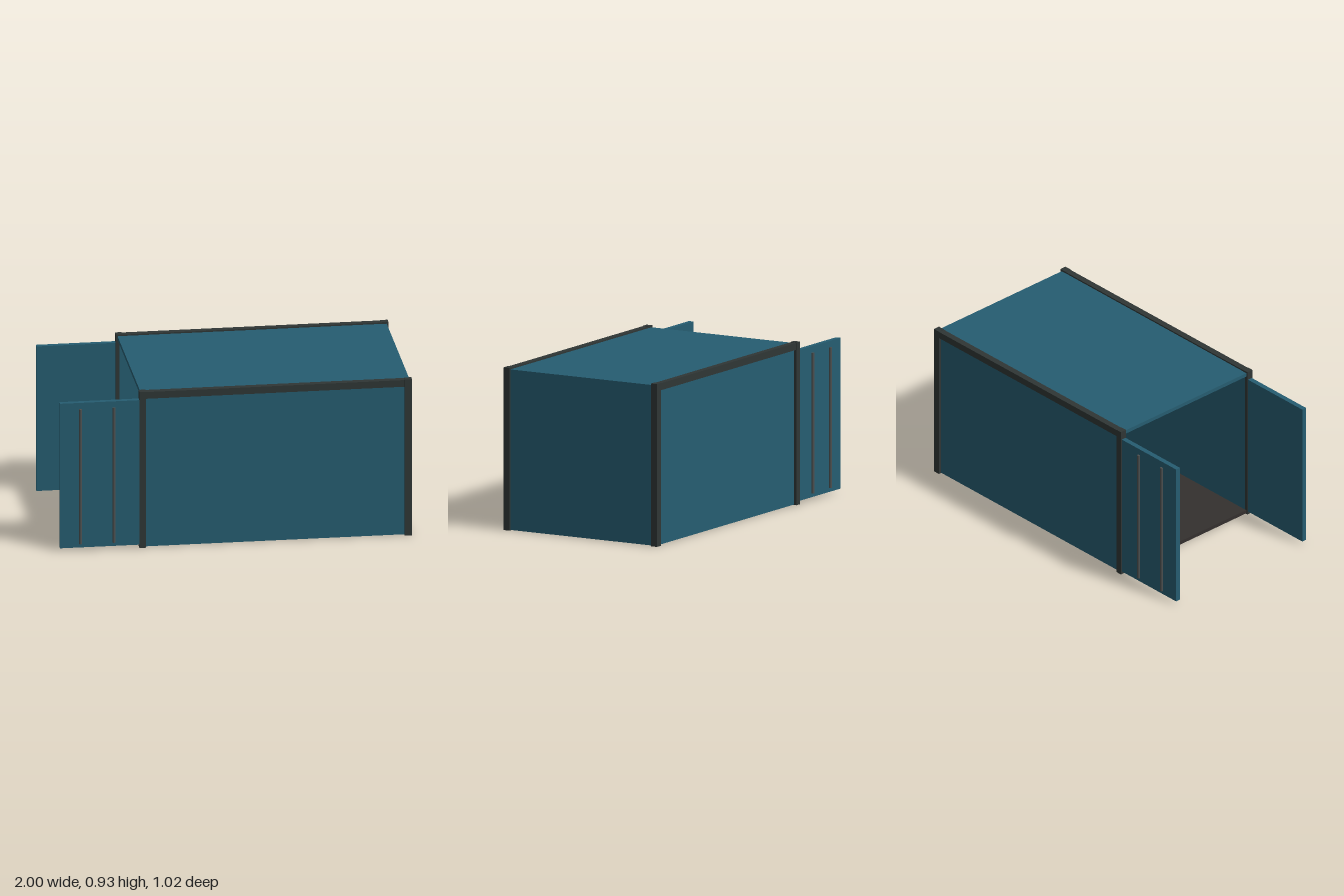
import * as THREE from 'three';

const mat = (name, color) => {
  const m = new THREE.MeshStandardMaterial({ color });
  m.name = name;
  return m;
};

export function createModel() {
  const group = new THREE.Group();
  const blue = mat('containerBlue', 0x265d71);
  const dark = mat('frameCharcoal', 0x2f3635);
  const steel = mat('rodSteel', 0x4c5050);
  const boards = mat('floorBoards', 0x34302e);

  // Box given by its minimum and maximum corners
  const box = (name, material, [x0, y0, z0], [x1, y1, z1]) => {
    const mesh = new THREE.Mesh(new THREE.BoxGeometry(x1 - x0, y1 - y0, z1 - z0), material);
    mesh.position.set((x0 + x1) / 2, (y0 + y1) / 2, (z0 + z1) / 2);
    mesh.name = name;
    group.add(mesh);
  };

  // Shell, open at the -x end
  box('floor', boards, [-0.54, 0.004, -0.47], [0.97, 0.025, 0.47]);
  box('roof', blue, [-0.54, 0.9, -0.47], [0.99, 0.922, 0.47]);
  box('endWall', blue, [0.97, 0.003, -0.47], [0.99, 0.9, 0.47]);

  for (const s of [-1, 1]) {
    const side = s > 0 ? 'front' : 'back';
    const span = (a, b) => (s > 0 ? [a, b] : [-b, -a]);
    const part = (name, m, x0, x1, y0, y1, a, b) => {
      const [z0, z1] = span(a, b);
      box(side + name, m, [x0, y0, z0], [x1, y1, z1]);
    };

    // Side wall, set back between corner posts and top rail
    part('Wall', blue, -0.53, 0.975, 0.003, 0.9, 0.465, 0.49);
    part('OpenEndPost', dark, -0.55, -0.512, 0, 0.932, 0.466, 0.505);
    part('ClosedEndPost', dark, 0.958, 1, 0, 0.932, 0.466, 0.505);
    part('TopRail', dark, -0.512, 0.958, 0.89, 0.93, 0.467, 0.504);

    // Door swung fully open, with two locking rods outside
    part('Door', blue, -1, -0.548, 0.018, 0.882, 0.47, 0.499);
    for (const x of [-0.885, -0.695]) {
      const rod = new THREE.Mesh(new THREE.CylinderGeometry(0.009, 0.009, 0.805, 12), steel);
      rod.position.set(x, 0.443, s * 0.503);
      rod.name = side + 'LockingRod';
      group.add(rod);
    }
  }
  return group;
}
